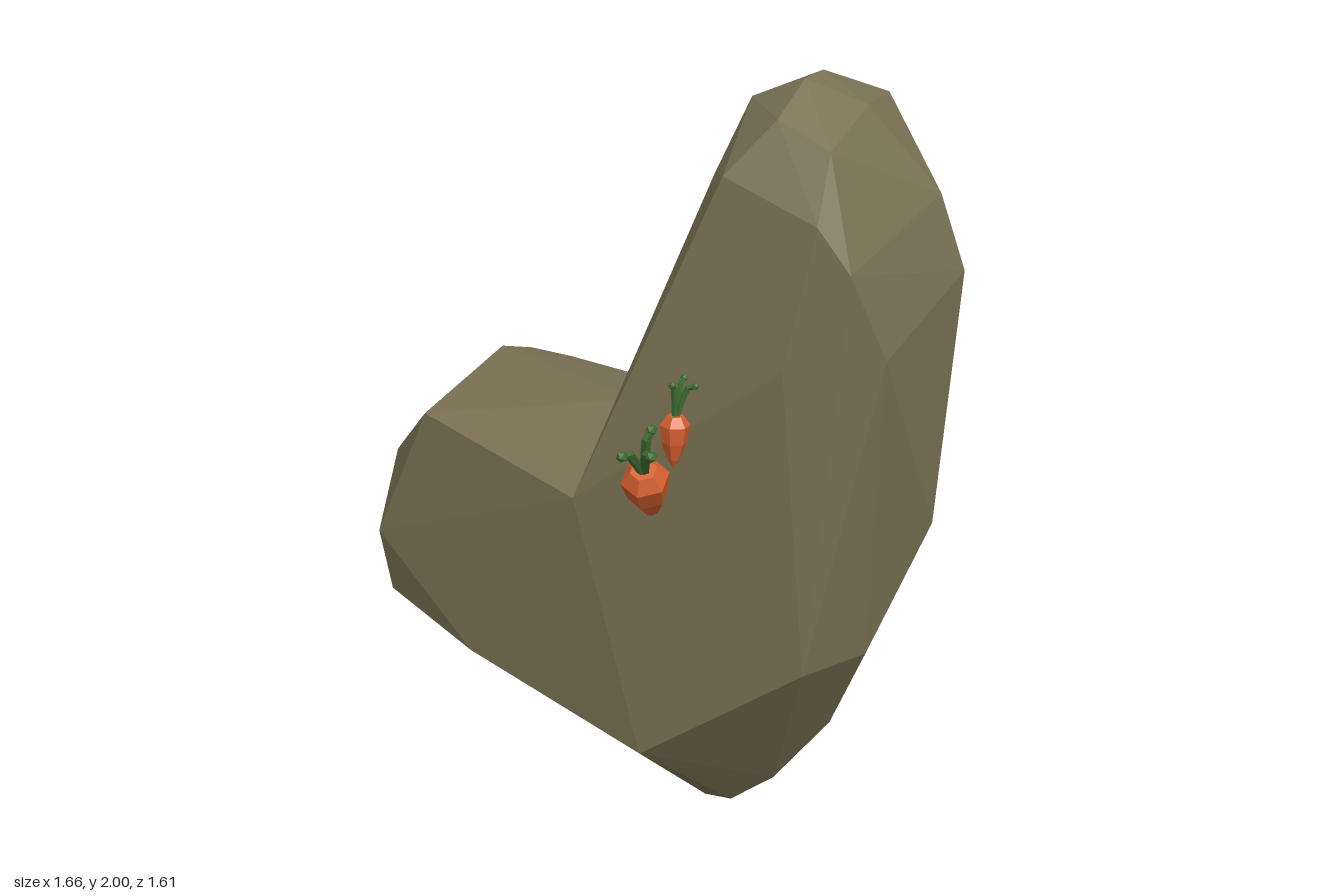
import * as THREE from 'three';
import { ConvexGeometry } from 'three/addons/geometries/ConvexGeometry.js';

const flat = (name, color) => {
  const m = new THREE.MeshStandardMaterial({ color, flatShading: true });
  m.name = name;
  return m;
};
const stone = flat('stone', 0x7a7154);
const orange = flat('carrot orange', 0xd4602f);
const green = flat('leaf green', 0x3f6b30);

const vec = (p) => new THREE.Vector3(...p);

// A faceted boulder wrapped around its corner points
function boulder(name, corners) {
  const mesh = new THREE.Mesh(new ConvexGeometry(corners.map(vec)), stone);
  mesh.name = name;
  return mesh;
}

// Six-sided root with its tip at the origin, plus curved leaf stalks
function carrot(name, radius, length, leaves) {
  const group = new THREE.Group();
  group.name = name;
  const profile = [[0, 0], [0.4, 0.17], [0.85, 0.5], [1, 0.82], [0.55, 1], [0, 1]]
    .map(([r, h]) => new THREE.Vector2(r * radius, h * length));
  const root = new THREE.Mesh(new THREE.LatheGeometry(profile, 6), orange);
  root.name = 'root';
  group.add(root);
  leaves.forEach(([dx, dy, dz]) => {
    const path = new THREE.CatmullRomCurve3([
      vec([dx * 0.1, length * 0.97, dz * 0.1]),
      vec([dx * 0.45, length + dy * 0.5, dz * 0.45]),
      vec([dx * 0.85, length + dy * 0.95, dz * 0.85]),
      vec([dx * 1.25, length + dy, dz * 1.25]),
    ]);
    const stalk = new THREE.Mesh(new THREE.TubeGeometry(path, 5, radius * 0.2, 5), green);
    stalk.name = 'leafStalk';
    // Rounded leaf end
    const end = new THREE.Mesh(new THREE.IcosahedronGeometry(radius * 0.25, 0), green);
    end.name = 'leafEnd';
    end.position.copy(path.getPoint(1));
    group.add(stalk, end);
  });
  return group;
}

export function createModel() {
  const model = new THREE.Group();
  model.name = 'rockWithCarrots';

  // Tall leaning boulder
  model.add(boulder('tallBoulder', [
    // crown
    [0.45, 2.0, -0.14], [0.47, 2.0, -0.22], [0.6, 1.95, -0.15], [0.43, 1.94, 0.0],
    [0.57, 1.89, 0.04], [0.31, 1.93, -0.18], [0.6, 1.93, -0.33],
    // shoulders
    [0.32, 1.81, 0.06], [0.26, 1.77, -0.06], [0.57, 1.74, 0.13], [0.65, 1.63, 0.12],
    [0.77, 1.74, -0.2], [0.83, 1.55, -0.22],
    // middle
    [0.5, 1.38, 0.14], [0.72, 1.4, 0.04], [0.42, 1.39, -0.585], [0.15, 1.35, -0.5],
    [0.07, 1.0, -0.54], [-0.05, 1.02, -0.39], [-0.04, 0.95, 0.09], [0.78, 0.88, -0.23],
    // base
    [0.55, 0.56, 0.07], [0.66, 0.56, -0.1], [0.54, 0.28, -0.22], [0.13, 0.26, 0.07],
    [0.4, 0.1, -0.2], [0.28, 0.0, -0.22], [0.21, 0.0, -0.22], [0.27, 0.01, -0.35],
    [0.2, 0.17, -0.42], [0.05, 0.08, -0.25], [-0.27, 0.37, -0.025], [-0.28, 0.28, -0.53],
  ]));

  // Low boulder running out to the side and back
  model.add(boulder('lowBoulder', [
    // end against the tall boulder
    [0.13, 0.26, 0.07], [0.05, 0.08, -0.25], [-0.04, 0.95, 0.09], [-0.05, 1.02, -0.39],
    [0.07, 1.0, -0.54], [-0.08, 0.98, -0.6], [-0.28, 0.28, -0.53], [-0.38, 0.4, -0.05],
    // top
    [-0.57, 0.97, -0.22], [-0.56, 0.97, -0.72], [-0.49, 0.96, -0.76],
    [-0.49, 0.92, -0.805], [-0.37, 0.96, -0.74],
    // outer end
    [-0.72, 0.75, -0.79], [-0.78, 0.72, -0.5], [-0.73, 0.59, -0.26], [-0.7, 0.42, -0.27],
    [-0.81, 0.46, -0.45], [-0.835, 0.5, -0.64], [-0.83, 0.42, -0.6], [-0.75, 0.35, -0.55],
    [-0.74, 0.48, -0.78], [-0.7, 0.4, -0.72],
  ]));

  // Two carrots hanging in front of the rock
  const big = carrot('bigCarrot', 0.055, 0.17, [
    [-0.02, 0.09, 0.03], [0.03, 0.09, 0.02], [0.015, 0.1, -0.03],
  ]);
  big.position.set(0.36, 1.21, 0.63);
  big.rotation.set(0.52, 0, -0.05);

  const small = carrot('smallCarrot', 0.035, 0.125, [
    [0.035, 0.075, 0.0], [0.0, 0.08, 0.025], [0.005, 0.08, -0.025],
  ]);
  small.position.set(0.355, 1.26, 0.48);
  small.rotation.set(-0.08, 0, 0);

  model.add(big, small);
  return model;
}
